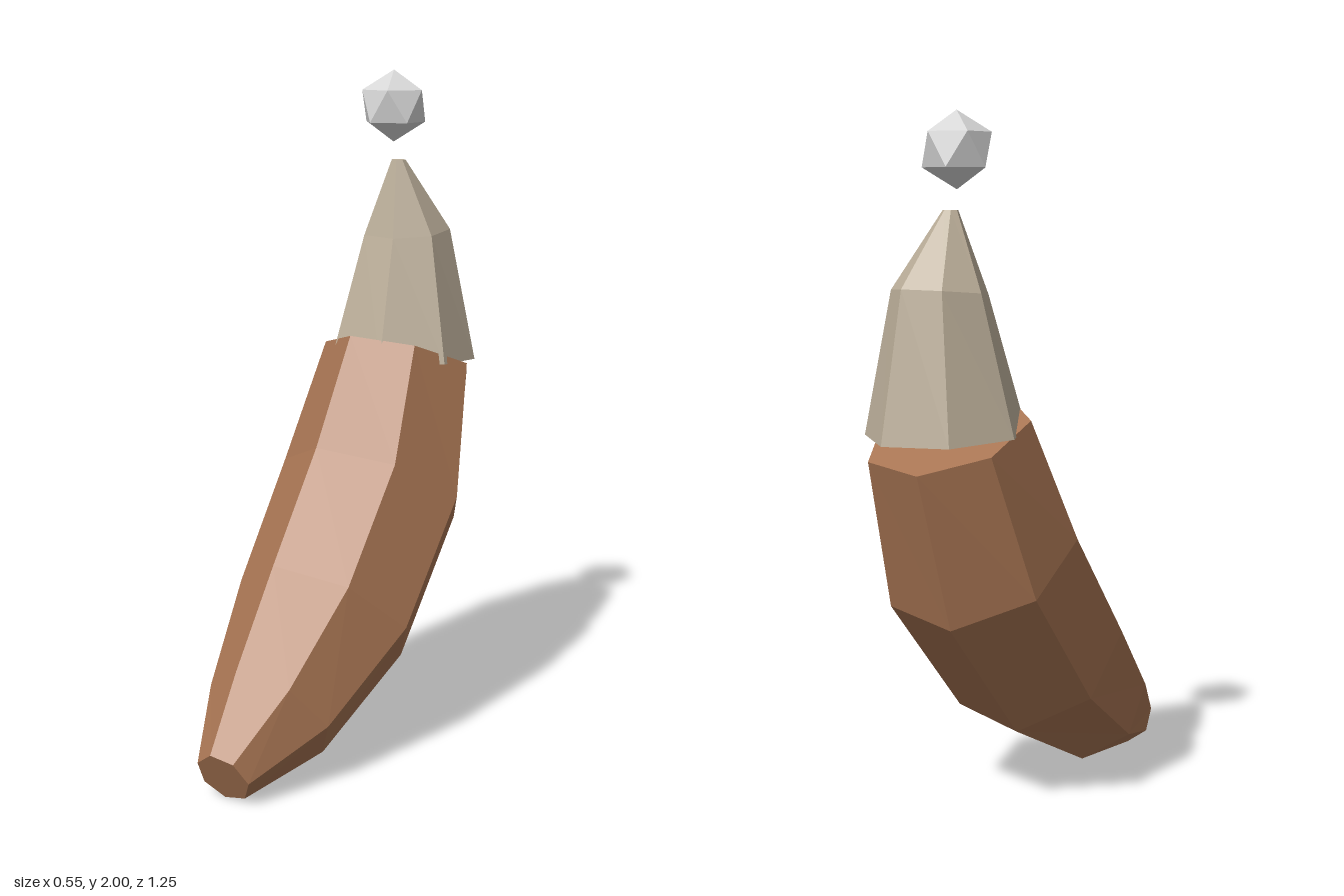
import * as THREE from 'three';

const SIDES = 7;
const CX = -0.014; // common centre line in x

// Capped low-poly tube through rings [y, z, radius, lean in degrees];
// 90 degrees points straight up, smaller values lean towards the back.
function loft(rings, phase) {
  const loops = rings.map(([y, z, r, deg]) => {
    const t = THREE.MathUtils.degToRad(deg);
    return Array.from({ length: SIDES }, (_, j) => {
      const a = phase + (j / SIDES) * Math.PI * 2;
      const n = r * Math.sin(a);
      return [CX + r * Math.cos(a), y + n * Math.cos(t), z + n * Math.sin(t)];
    });
  });
  const pos = [];
  const tri = (...pts) => pts.forEach((p) => pos.push(...p));
  const last = rings.length - 1;
  const centre = (i) => [CX, rings[i][0], rings[i][1]];
  for (let j = 0; j < SIDES; j++) {
    const k = (j + 1) % SIDES;
    for (let i = 0; i < last; i++) {
      tri(loops[i][j], loops[i + 1][j], loops[i + 1][k]);
      tri(loops[i][j], loops[i + 1][k], loops[i][k]);
    }
    tri(centre(0), loops[0][j], loops[0][k]);
    tri(centre(last), loops[last][k], loops[last][j]);
  }
  const g = new THREE.BufferGeometry();
  g.setAttribute('position', new THREE.Float32BufferAttribute(pos, 3));
  g.computeVertexNormals();
  return g;
}

export function createModel() {
  const group = new THREE.Group();
  const material = (name, color) => {
    const m = new THREE.MeshStandardMaterial({ color, flatShading: true });
    m.name = name;
    return m;
  };
  const add = (name, geometry, mat) => {
    const mesh = new THREE.Mesh(geometry, mat);
    mesh.name = name;
    group.add(mesh);
    return mesh;
  };

  // Curved body, from the small front tip up to the wide rear end
  add('curvedBody', loft([
    [0.077, 0.594, 0.085, 25],
    [0.186, 0.352, 0.195, 35.5],
    [0.405, 0.048, 0.276, 46],
    [0.740, -0.236, 0.289, 56.5],
    [1.120, -0.390, 0.236, 67],
  ], 0), material('brown', 0xa87553));

  // Pointed cap sitting in the upper end
  add('pointedCap', loft([
    [1.120, -0.400, 0.229, 86],
    [1.510, -0.422, 0.137, 95],
    [1.730, -0.373, 0.022, 90],
  ], Math.PI), material('beige', 0xbbae99));

  // Floating faceted ball, one corner pointing up
  const ball = new THREE.IcosahedronGeometry(0.107, 0);
  ball.rotateZ(-Math.atan(2 / (1 + Math.sqrt(5))));
  add('floatingBall', ball, material('light grey', 0xd6d6d6))
    .position.set(CX, 1.893, -0.343);

  return group;
}
